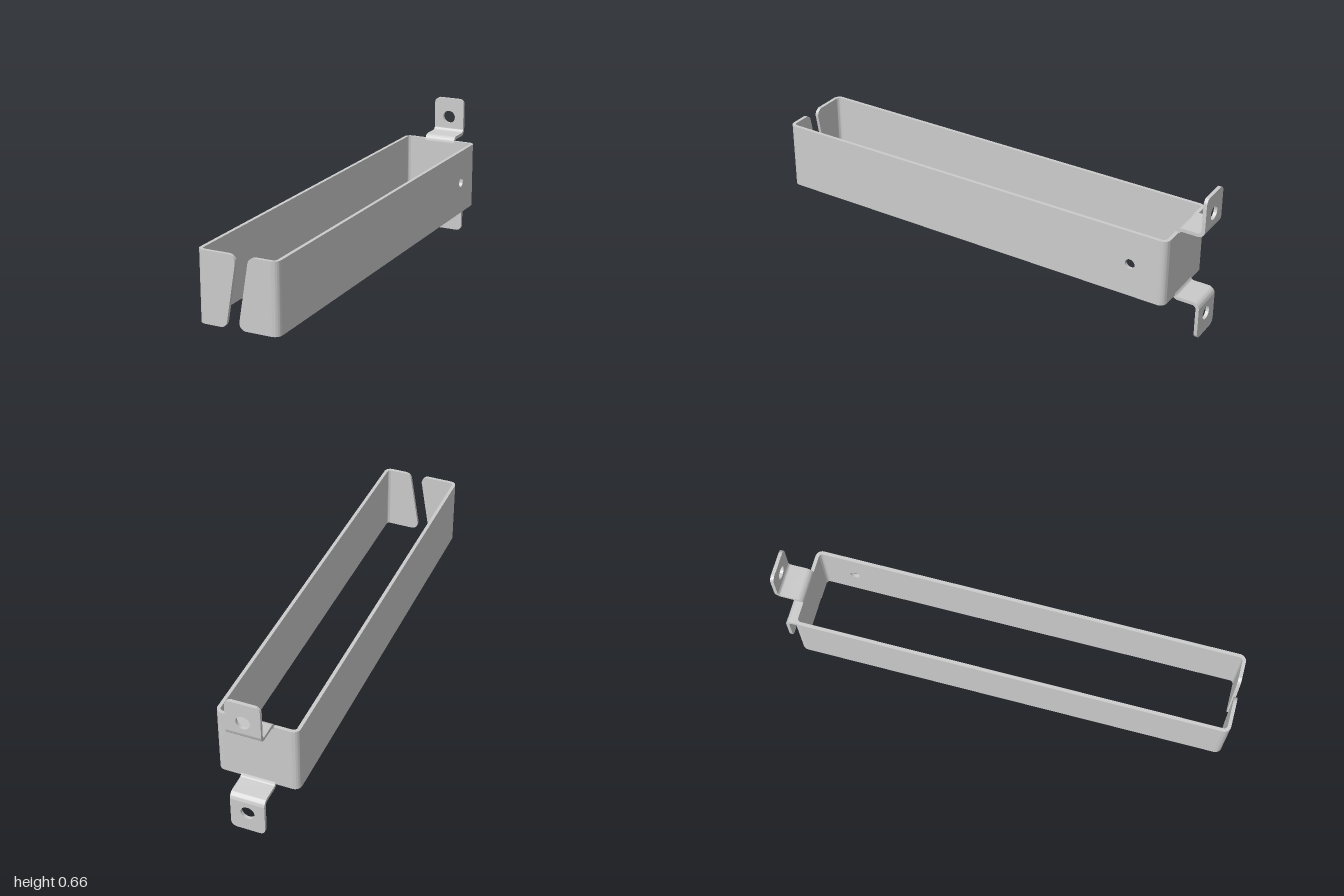
import * as THREE from 'three';
import { toCreasedNormals } from 'three/addons/utils/BufferGeometryUtils.js';

const T = 0.015;                 // sheet thickness
const R = 0.0225;                // bend radius at mid-sheet
const X = 0.176 - T / 2;         // mid-sheet position of the side walls
const FRONT = 1 - T / 2, BACK = -0.89 + T / 2, MOUNT = -1 + T / 2;
const H = 0.15;                  // half height of the band
const MID = 0.328;               // height of the symmetry plane
const TAB = 0.074;               // half width of the mounting tabs
const SHELF = 0.1615;            // mid-sheet height of the tab shelves

const V = (x, y) => new THREE.Vector2(x, y);
const material = new THREE.MeshStandardMaterial({ color: 0xcccccc });

// Arc that rounds corner p between neighbours a and b: points with left-hand normals
function fillet(a, p, b, r, steps = 10) {
  const u = a.clone().sub(p).normalize(), v = b.clone().sub(p).normalize();
  const half = Math.acos(u.dot(v)) / 2;
  const c = u.clone().add(v).normalize().multiplyScalar(r / Math.sin(half)).add(p);
  const start = u.clone().multiplyScalar(r / Math.tan(half)).add(p).sub(c);
  const turn = Math.sign(v.cross(u)) || 1;
  const sweep = turn * (Math.PI - 2 * half);
  return Array.from({ length: steps + 1 }, (_, i) => {
    const radial = start.clone().rotateAround(V(0, 0), sweep * i / steps);
    return { p: radial.clone().add(c), n: radial.normalize().multiplyScalar(-turn) };
  });
}

// Outline from [x, y, cornerRadius] entries, with optional round hole [x, y, r]
function outline(entries, hole) {
  const pts = entries.map(([x, y]) => V(x, y)), n = pts.length;
  const shape = new THREE.Shape(entries.flatMap(([, , r], i) => r
    ? fillet(pts[(i + n - 1) % n], pts[i], pts[(i + 1) % n], r).map(s => s.p)
    : [pts[i]]));
  if (hole) shape.holes.push(new THREE.Path().absarc(...hole, 0, Math.PI * 2, true));
  return shape;
}

// Cross-section of bent sheet running through the corners of a path
function bend(path) {
  const samples = [];
  for (let i = 1; i < path.length - 1; i++) samples.push(...fillet(path[i - 1], path[i], path[i + 1], R));
  const side = k => samples.map(s => s.p.clone().addScaledVector(s.n, k * T / 2));
  return new THREE.Shape([...side(1), ...side(-1).reverse()]);
}

// Extrude centred on the shape's plane
function extrude(name, shape, depth) {
  const g = new THREE.ExtrudeGeometry(shape, { depth, bevelEnabled: false, curveSegments: 20 });
  g.translate(0, 0, -depth / 2);
  const mesh = new THREE.Mesh(toCreasedNormals(g, 0.5), material);
  mesh.name = name;
  return mesh;
}

// Side wall lying in the z-y plane
function sideWall(name, sign, hole) {
  const a = BACK + R, b = FRONT - R;
  const wall = extrude(name, outline([[a, -H], [b, -H], [b, H], [a, H]], hole), T);
  wall.rotation.y = -Math.PI / 2;
  wall.position.x = sign * X;
  return wall;
}

// Rounded vertical corner of the band
function corner(name, sx, z, sz) {
  const c = bend([V(sx * (X - 0.1), -z), V(sx * X, -z), V(sx * X, -z + sz * 0.1)]);
  const mesh = extrude(name, c, 2 * H);
  mesh.rotation.x = -Math.PI / 2;
  return mesh;
}

// Slanted, rounded half of the open front
function flap(name) {
  const e = -X + R;
  const mesh = extrude(name, outline([[e, -H], [-0.052, -H, 0.03], [-0.001, H, 0.03], [e, H]]), T);
  mesh.position.z = FRONT;
  return mesh;
}

// Z-bent mounting tab with a screw hole
function mountingTab(name) {
  const tab = new THREE.Group();
  tab.name = name;
  const step = extrude('tabBend', bend([
    V(BACK, SHELF - 0.1), V(BACK, SHELF), V(MOUNT, SHELF), V(MOUNT, SHELF + 0.1)]), 2 * TAB);
  step.rotation.y = -Math.PI / 2;
  const low = SHELF + R;
  const plate = extrude('tabPlate', outline(
    [[-TAB, low], [TAB, low], [TAB, MID, 0.025], [-TAB, MID, 0.025]], [0, 0.237, 0.03]), T);
  plate.position.z = MOUNT;
  tab.add(step, plate);
  return tab;
}

export function createModel() {
  const model = new THREE.Group();
  model.name = 'bracket';
  const body = new THREE.Group();
  body.name = 'bentSheet';
  body.position.y = MID;
  model.add(body);

  // Long walls; only the left one is drilled
  body.add(sideWall('leftWall', 1, [-0.73, 0, 0.022]), sideWall('rightWall', -1));
  for (const s of [1, -1]) {
    body.add(corner('frontCorner', s, FRONT, 1), corner('backCorner', s, BACK, -1));
  }

  // Back wall, recessed where the tabs bend away
  const e = X - R, n = SHELF - R;
  const back = extrude('backWall', outline([
    [-e, -H], [-TAB, -H], [-TAB, -n], [TAB, -n], [TAB, -H], [e, -H],
    [e, H], [TAB, H], [TAB, n], [-TAB, n], [-TAB, H], [-e, H]]), T);
  back.position.z = BACK;
  body.add(back);

  // Flaps and tabs repeat under a half turn about the long axis
  const rightFlap = flap('rightFlap'), leftFlap = flap('leftFlap');
  const upperTab = mountingTab('upperTab'), lowerTab = mountingTab('lowerTab');
  leftFlap.rotation.z = lowerTab.rotation.z = Math.PI;
  body.add(rightFlap, leftFlap, upperTab, lowerTab);
  return model;
}
